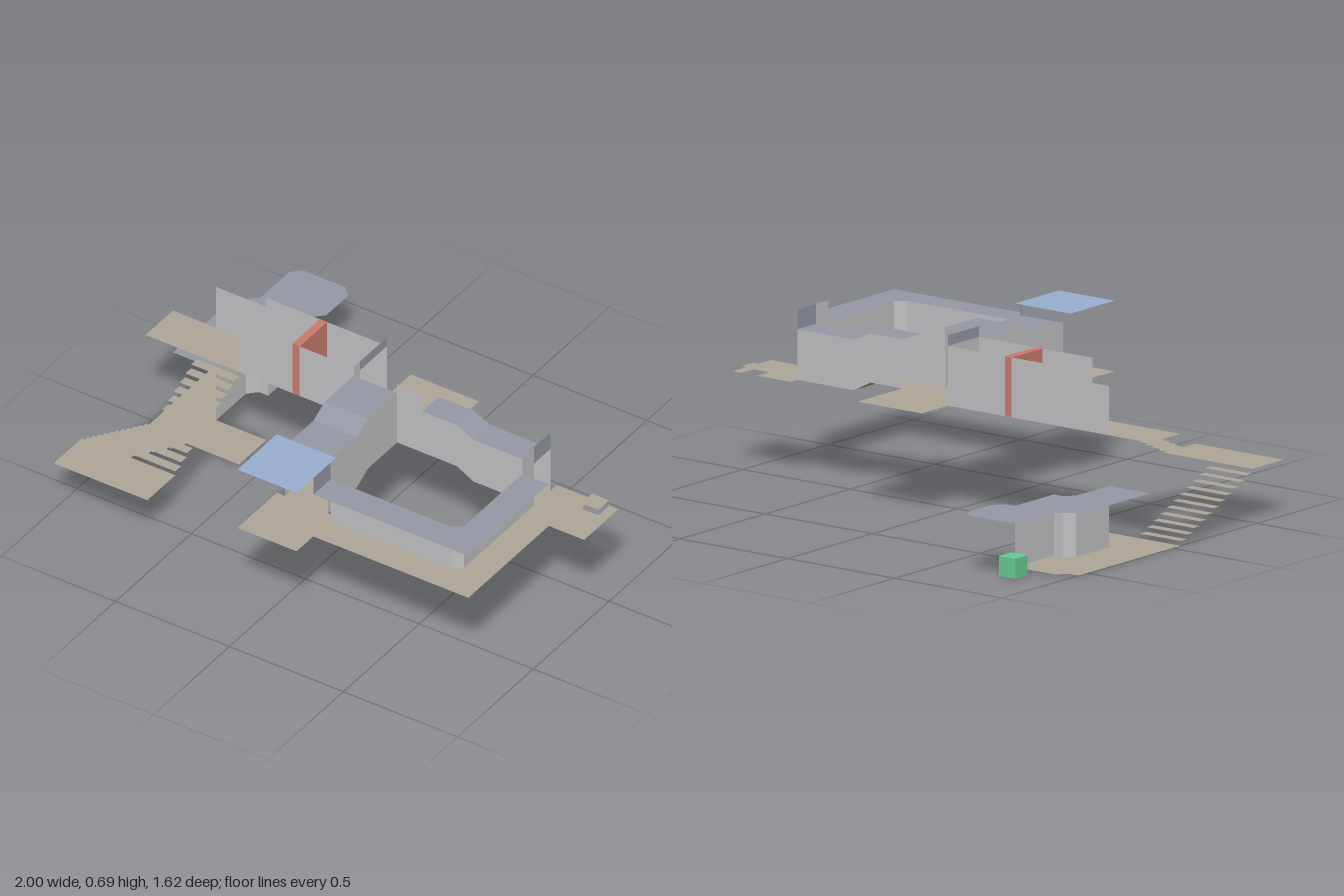
import * as THREE from 'three';

const mat = (name, color) => new THREE.MeshStandardMaterial({ name, color, side: THREE.DoubleSide });

export function createModel() {
  const group = new THREE.Group();
  const wallGray = mat('wallGray', 0xc0c0c2);
  const floorTaupe = mat('floorTaupe', 0xaea598);
  const ceilingSlate = mat('ceilingSlate', 0x9497a3);
  const skylightBlue = mat('skylightBlue', 0x98aece);
  const doorRed = mat('doorRed', 0xca7a6e);
  const markerGreen = mat('markerGreen', 0x68ca90);

  const add = (name, geometry, material) => {
    const mesh = new THREE.Mesh(geometry, material);
    mesh.name = name;
    group.add(mesh);
    return mesh;
  };

  // Horizontal sheet from an [x, z] outline at height y
  const sheet = (name, material, y, outline, hole) => {
    const toV = ([x, z]) => new THREE.Vector2(x, -z);
    const shape = new THREE.Shape(outline.map(toV));
    if (hole) shape.holes.push(new THREE.Path(hole.map(toV)));
    const g = new THREE.ShapeGeometry(shape);
    g.rotateX(-Math.PI / 2);
    g.translate(0, y, 0);
    return add(name, g, material);
  };
  const rect = (x0, x1, z0, z1) => [[x0, z1], [x1, z1], [x1, z0], [x0, z0]];

  // Strip of flat quads between two matching polylines of [x, y, z]
  const ribbon = (name, material, a, b) => {
    const pos = [];
    for (let i = 0; i < a.length - 1; i++) {
      pos.push(...a[i], ...a[i + 1], ...b[i + 1], ...a[i], ...b[i + 1], ...b[i]);
    }
    const g = new THREE.BufferGeometry();
    g.setAttribute('position', new THREE.Float32BufferAttribute(pos, 3));
    g.computeVertexNormals();
    return add(name, g, material);
  };

  // Upright wall along an [x, z] path between two heights
  const wall = (name, material, y0, y1, path) => ribbon(name, material,
    path.map(([x, z]) => [x, y0, z]), path.map(([x, z]) => [x, y1, z]));

  // Lower passage
  const passageEast = [[-0.81, -0.13], [-0.81, -0.325], [-0.775, -0.36], [-0.735, -0.36], [-0.735, -0.59]];
  sheet('lowerFloor', floorTaupe, 0, [[-1, 0.05], [-0.59, 0.05], [-0.59, -0.13], ...passageEast,
    [-0.92, -0.59], [-0.96, -0.55], [-1, -0.55]]);
  sheet('lowerCeiling', ceilingSlate, 0.23, [[-1, -0.13], ...passageEast, [-0.7, -0.59],
    [-0.66, -0.63], [-0.66, -0.775], [-0.697, -0.813], [-0.885, -0.813], [-0.92, -0.775],
    [-0.92, -0.59], [-0.96, -0.55], [-1, -0.55]]);
  wall('lowerWall', wallGray, 0, 0.23, passageEast);
  add('markerCube', new THREE.BoxGeometry(0.075, 0.075, 0.075), markerGreen)
    .position.set(-0.8125, 0.0375, -0.6975);

  // Two flights of open treads and the landing between them
  sheet('landing', floorTaupe, 0.21, rect(-1, -0.59, 0.47, 0.655));
  const steps = 11, depth = 0.42 / steps, rise = 0.21 / (steps + 1);
  for (let i = 0; i < steps; i++) {
    const z = 0.05 + i * depth;
    sheet('lowerTread', floorTaupe, (i + 1) * rise, rect(-1, -0.81, z, z + depth));
    sheet('upperTread', floorTaupe, 0.42 - (i + 1) * rise, rect(-0.775, -0.59, z, z + depth));
  }

  // Upper hall and junction room
  sheet('hallFloor', floorTaupe, 0.42, rect(-1, -0.06, -0.13, 0.05));
  sheet('junctionFloor', floorTaupe, 0.42, rect(-0.06, 0.24, -0.285, 0.09));
  wall('hallNorthWallLow', wallGray, 0.42, 0.605, [[-0.81, -0.13], [-0.59, -0.13]]);
  wall('hallNorthWall', wallGray, 0.42, 0.645, [[-0.59, -0.13], [-0.06, -0.13]]);
  wall('hallSouthWall', wallGray, 0.42, 0.645, [[-0.59, 0.05], [-0.06, 0.05]]);
  wall('hallLintel', ceilingSlate, 0.645, 0.685, [[-0.06, -0.13], [-0.06, 0.05]]);
  wall('junctionWestWall', wallGray, 0.42, 0.685, [[-0.06, 0.05], [-0.06, 0.09]]);
  wall('junctionSouthWall', wallGray, 0.42, 0.685, [[0.13, 0.09], [0.24, 0.09]]);
  add('hallDoor', new THREE.BoxGeometry(0.032, 0.224, 0.181), doorRed).position.set(-0.34, 0.533, -0.04);

  // Sloping corridor: floor, ceiling and both side walls from [distance, floor, ceiling] stations
  const corridor = (name, stations, sideA, sideB, place) => {
    const line = (side, k) => stations.map((s) => place(s[0], s[k], side));
    ribbon(name + 'Floor', floorTaupe, line(sideA, 1), line(sideB, 1));
    ribbon(name + 'Ceiling', ceilingSlate, line(sideA, 2), line(sideB, 2));
    for (const side of [sideA, sideB]) ribbon(name + 'Wall', wallGray, line(side, 1), line(side, 2));
  };
  corridor('southCorridor',
    [[0.09, 0.42, 0.645], [0.28, 0.42, 0.645], [0.355, 0.38, 0.605], [0.545, 0.38, 0.605]],
    -0.06, 0.13, (d, y, s) => [s, y, d]);
  corridor('eastCorridor',
    [[0.24, 0.42, 0.605], [0.39, 0.42, 0.605], [0.465, 0.38, 0.57], [0.73, 0.38, 0.57]],
    0.09, -0.02, (d, y, s) => [d, y, s]);

  // Skylight room
  sheet('skylightRoomFloor', floorTaupe, 0.38, rect(-0.095, 0.165, 0.545, 0.805));
  sheet('skylight', skylightBlue, 0.645, rect(-0.095, 0.165, 0.545, 0.805));
  wall('skylightNorthLintel', ceilingSlate, 0.605, 0.645, [[-0.06, 0.545], [0.13, 0.545]]);
  wall('skylightEastLintel', ceilingSlate, 0.57, 0.645, [[0.165, 0.58], [0.165, 0.695]]);

  // Bent corridor joining the skylight room and the east room
  const inner = [[0.165, 0.58], [0.695, 0.58], [0.73, 0.55], [0.73, 0.165]];
  const bend = [...inner, [0.845, 0.165], [0.845, 0.695], [0.165, 0.695]];
  sheet('bendFloor', floorTaupe, 0.38, bend);
  sheet('bendCeiling', ceilingSlate, 0.57, bend);
  wall('bendInnerWall', wallGray, 0.38, 0.57, inner);

  // East room with a small raised plate over an opening in its floor
  sheet('eastRoomFloor', floorTaupe, 0.38, [[0.73, 0.165], [1, 0.165], [1, -0.06], [0.96, -0.06],
    [0.96, -0.013 + 0.023], [0.885, 0.01], [0.885, -0.06], [0.73, -0.06]]);
  sheet('raisedPlate', floorTaupe, 0.405, rect(0.885, 0.96, -0.06, 0.01));
  wall('eastRoomWall', wallGray, 0.38, 0.645, [[0.73, 0.09], [0.73, 0.165]]);
  wall('eastRoomLintel', ceilingSlate, 0.57, 0.645, [[0.73, -0.02], [0.73, 0.09]]);

  return group;
}
